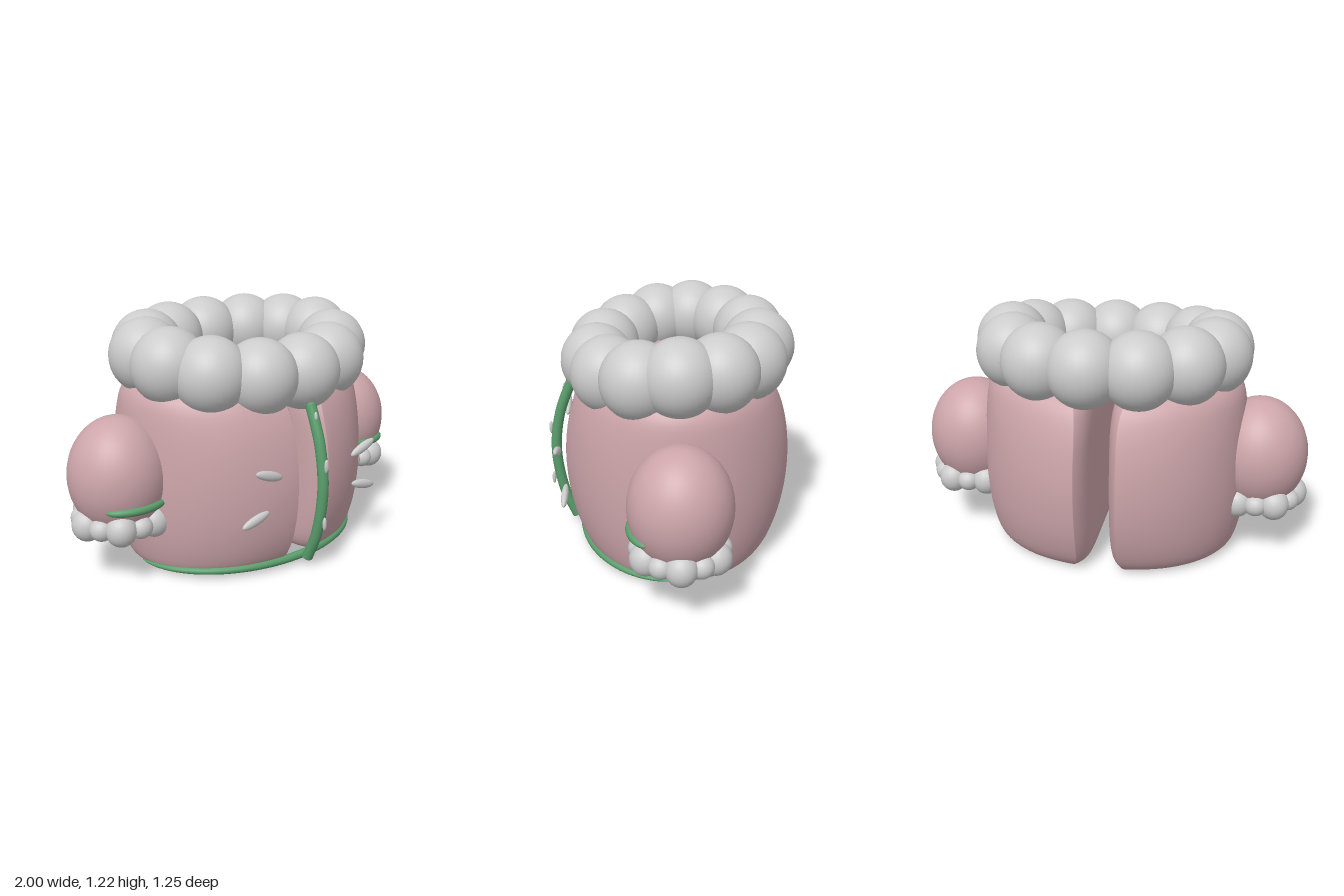
import * as THREE from 'three';

const pink = new THREE.MeshStandardMaterial({ color: 0xcca5aa });
const green = new THREE.MeshStandardMaterial({ color: 0x5a9e6c });
const grey = new THREE.MeshStandardMaterial({ color: 0xcccccc });
const CZ = -0.04; // centre of body, collar and sleeves in z

function add(parent, name, geometry, material) {
  const mesh = new THREE.Mesh(geometry, material);
  mesh.name = name;
  parent.add(mesh);
  return mesh;
}

function ellipsoid(parent, name, material, [x, y, z], [rx, ry, rz], seg = 32) {
  const mesh = add(parent, name, new THREE.SphereGeometry(1, seg, Math.round(seg * 0.7)), material);
  mesh.position.set(x, y, z);
  mesh.scale.set(rx, ry, rz);
  return mesh;
}

// Tube along a curve whose radius shrinks toward both ends
function taperedTube(curve, radius, power, segs = 48) {
  const geo = new THREE.TubeGeometry(curve, segs, radius, 12, false);
  const pos = geo.attributes.position, v = new THREE.Vector3(), c = new THREE.Vector3();
  for (let i = 0; i < pos.count; i++) {
    const t = Math.floor(i / 13) / segs;
    curve.getPointAt(t, c);
    const k = Math.pow(Math.max(0, 1 - Math.abs(2 * t - 1) ** power), 0.5);
    v.fromBufferAttribute(pos, i).sub(c).multiplyScalar(k).add(c);
    pos.setXYZ(i, v.x, v.y, v.z);
  }
  geo.computeVertexNormals();
  return geo;
}

// Arc of an ellipse lying flat, opening toward the back
function frontArc(cx, y, cz, a, b, start, end, lift = 0) {
  const pts = [];
  for (let i = 0; i <= 24; i++) {
    const t = start + (end - start) * i / 24;
    pts.push(new THREE.Vector3(cx + a * Math.cos(t), y + lift * Math.sin(t), cz + b * Math.sin(t)));
  }
  return new THREE.CatmullRomCurve3(pts);
}

// D-shaped outline of one body half: outer ellipse, then the wall along the gap
function halfOutline() {
  const pts = [], A = 0.68, B = 0.58, edge = 0.1, gap = 0.04;
  const tMax = Math.acos(edge / A), zMax = B * Math.sin(tMax);
  for (let i = 0; i < 48; i++) {
    const t = -tMax + 2 * tMax * i / 48;
    pts.push([A * Math.cos(t), B * Math.sin(t)]);
  }
  for (let i = 0; i < 32; i++) {
    const u = Math.cos(Math.PI * i / 32);
    pts.push([gap + (edge - gap) * Math.abs(u) ** 8, zMax * u]);
  }
  return pts;
}

// Body half lofted through heights: [y, outer x scale, z scale, inner x scale]
function bodyHalf(side) {
  const rows = [
    [0.005, 0.02, 0.02, 0.02], [0.004, 0.3, 0.35, 0.3], [0.005, 0.55, 0.6, 0.55], [0.012, 0.75, 0.74, 0.78],
    [0.035, 0.85, 0.81, 0.92], [0.09, 0.91, 0.88, 0.98], [0.2, 0.97, 0.95, 1], [0.33, 1, 0.99, 1],
    [0.47, 1, 1, 1], [0.62, 0.98, 0.975, 1], [0.75, 0.95, 0.92, 1], [0.85, 0.9, 0.84, 0.96],
    [0.91, 0.78, 0.72, 0.84], [0.93, 0.5, 0.5, 0.55], [0.93, 0.02, 0.02, 0.02],
  ];
  const pivot = 0.33, outline = halfOutline(), n = outline.length;
  const pos = [], idx = [];
  const heights = new THREE.CatmullRomCurve3(rows.map(r => new THREE.Vector3(r[0], r[1], r[2])));
  const inner = new THREE.CatmullRomCurve3(rows.map(r => new THREE.Vector3(r[0], r[3], 0)));
  const m = 42;
  for (let j = 0; j <= m; j++) {
    const h = heights.getPoint(j / m), si = inner.getPoint(j / m).y;
    for (const [x, z] of outline) {
      const d = x - pivot;
      pos.push(side * (pivot + d * (d < 0 ? si : h.y)) - 0.01, h.x, CZ + z * h.z);
    }
  }
  for (let j = 0; j < m; j++) for (let i = 0; i < n; i++) {
    const a = j * n + i, b = j * n + (i + 1) % n, c = a + n, d = b + n;
    if (side > 0) idx.push(a, c, b, b, c, d);
    else idx.push(a, b, c, b, d, c);
  }
  // Close the tiny openings at bottom and top
  for (const j of [0, m]) for (let i = 1; i < n - 1; i++) {
    const a = j * n, b = a + i, c = b + 1;
    if ((j === 0) === (side > 0)) idx.push(a, b, c);
    else idx.push(a, c, b);
  }
  const geo = new THREE.BufferGeometry();
  geo.setAttribute('position', new THREE.Float32BufferAttribute(pos, 3));
  geo.setIndex(idx);
  geo.computeVertexNormals();
  return geo;
}

function sleeve(side) {
  const g = new THREE.Group(), x = side * 0.745;
  g.name = side > 0 ? 'leftSleeve' : 'rightSleeve';
  ellipsoid(g, 'sleevePuff', pink, [x, 0.51, CZ], [0.243, 0.29, 0.243], 40);
  // Cuff of alternating large and small puffs
  for (let i = 0; i < 12; i++) {
    const t = i * Math.PI / 6, big = i % 2 === 0;
    const r = big ? 0.075 : 0.058;
    ellipsoid(g, 'cuffPuff', grey, [x + 0.18 * Math.cos(t), 0.3, CZ + 0.18 * Math.sin(t)], [r, big ? 0.08 : 0.056, r], 20);
  }
  // Band across the front of the sleeve
  const curve = frontArc(x, 0.405, CZ, 0.228, 0.228, Math.PI * 0.24, Math.PI * 0.76);
  add(g, 'sleeveBand', taperedTube(curve, 0.02, 4), green);
  return g;
}

export function createModel() {
  const model = new THREE.Group();
  model.name = 'pufferJacket';

  add(model, 'leftBodyHalf', bodyHalf(1), pink);
  add(model, 'rightBodyHalf', bodyHalf(-1), pink);
  model.add(sleeve(1), sleeve(-1));

  // Collar ring of puffs, dipping toward the front
  const collar = new THREE.Group();
  collar.name = 'collar';
  for (let i = 0; i < 13; i++) {
    const t = i * Math.PI * 2 / 13, dz = 0.4 * Math.sin(t);
    const y = 1.035 - 0.18 * Math.max(0, dz);
    ellipsoid(collar, 'collarPuff', grey, [0.52 * Math.cos(t), y, CZ + dz], [0.182, 0.186, 0.182]);
  }
  model.add(collar);

  // Hem along the lower front
  const hem = frontArc(-0.01, 0.037, -0.02, 0.635, 0.475, 0, Math.PI, 0.012);
  add(model, 'hem', taperedTube(hem, 0.021, 2), green);

  // Front closure strip
  const strip = new THREE.CatmullRomCurve3([[0.05, 0.5], [0.2, 0.56], [0.44, 0.594], [0.65, 0.566], [0.84, 0.495]]
    .map(([y, z]) => new THREE.Vector3(-0.01, y, z)));
  add(model, 'closureStrip', new THREE.TubeGeometry(strip, 40, 0.027, 14), green);
  for (const t of [0.02, 0.98]) {
    const end = strip.getPointAt(t);
    ellipsoid(model, 'stripEnd', green, [end.x, end.y, end.z], [0.027, 0.027, 0.027], 14);
  }

  // Small fasteners on the strip
  for (const [y, z] of [[0.27, 0.617], [0.565, 0.617], [0.78, 0.537]])
    ellipsoid(model, 'fastener', grey, [-0.015, y, z], [0.011, 0.034, 0.01], 14);

  // Slanted stitches on the chest
  for (const side of [1, -1]) {
    for (const [x, y, z, tilt] of [[0.305, 0.572, 0.553, 0.33], [0.355, 0.355, 0.52, -0.25]]) {
      const s = ellipsoid(model, 'stitch', grey, [side * x - 0.007, y, z], [0.083, 0.024, 0.018], 20);
      s.rotation.z = side * tilt;
    }
  }
  return model;
}
